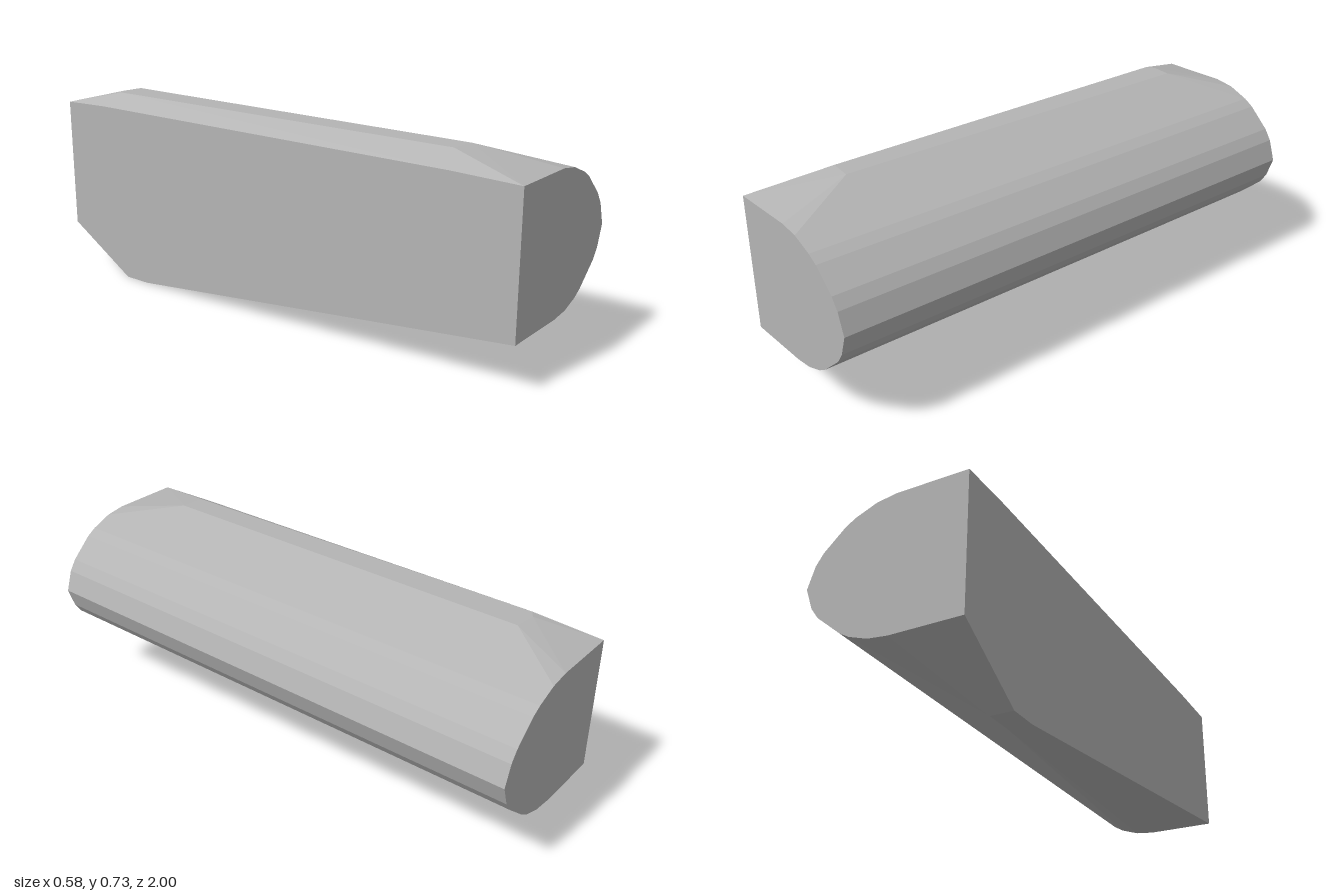
import * as THREE from 'three';
import { ConvexGeometry } from 'three/addons/geometries/ConvexGeometry.js';

export function createModel() {
  const group = new THREE.Group();
  group.name = 'bolster';
  const grey = new THREE.MeshStandardMaterial({ color: 0xb4b4b4 });
  grey.name = 'plain grey';

  // D-shaped end section, repeated at the front and the back
  const profile = [
    [-0.288, 0.174], [-0.03, 0.174], [0.043, 0.182], [0.11, 0.205], [0.147, 0.227],
    [0.235, 0.302], [0.262, 0.341], [0.288, 0.415], [0.262, 0.493], [0.235, 0.533],
    [0.157, 0.606], [0.12, 0.629], [0.043, 0.66], [-0.03, 0.671], [-0.288, 0.671],
  ];
  const points = [];
  for (const z of [-1, 1]) for (const [x, y] of profile) points.push(new THREE.Vector3(x, y, z));

  // Narrow flat crown along the top, and the low keel near the back
  const crown = [[-0.22, -0.77], [-0.19, -0.79], [-0.11, -0.78], [-0.2, 0.71], [-0.11, 0.72]];
  const keel = [[-0.288, -0.6], [-0.288, -0.71], [-0.205, -0.6], [-0.205, -0.71]];
  for (const [x, z] of crown) points.push(new THREE.Vector3(x, 0.725, z));
  for (const [x, z] of keel) points.push(new THREE.Vector3(x, 0, z));
  // Slightly raised back edge of the top
  for (const z of [-0.8, 0.75]) points.push(new THREE.Vector3(-0.288, 0.677, z));

  const body = new THREE.Mesh(new ConvexGeometry(points), grey);
  body.name = 'body';
  group.add(body);
  return group;
}
